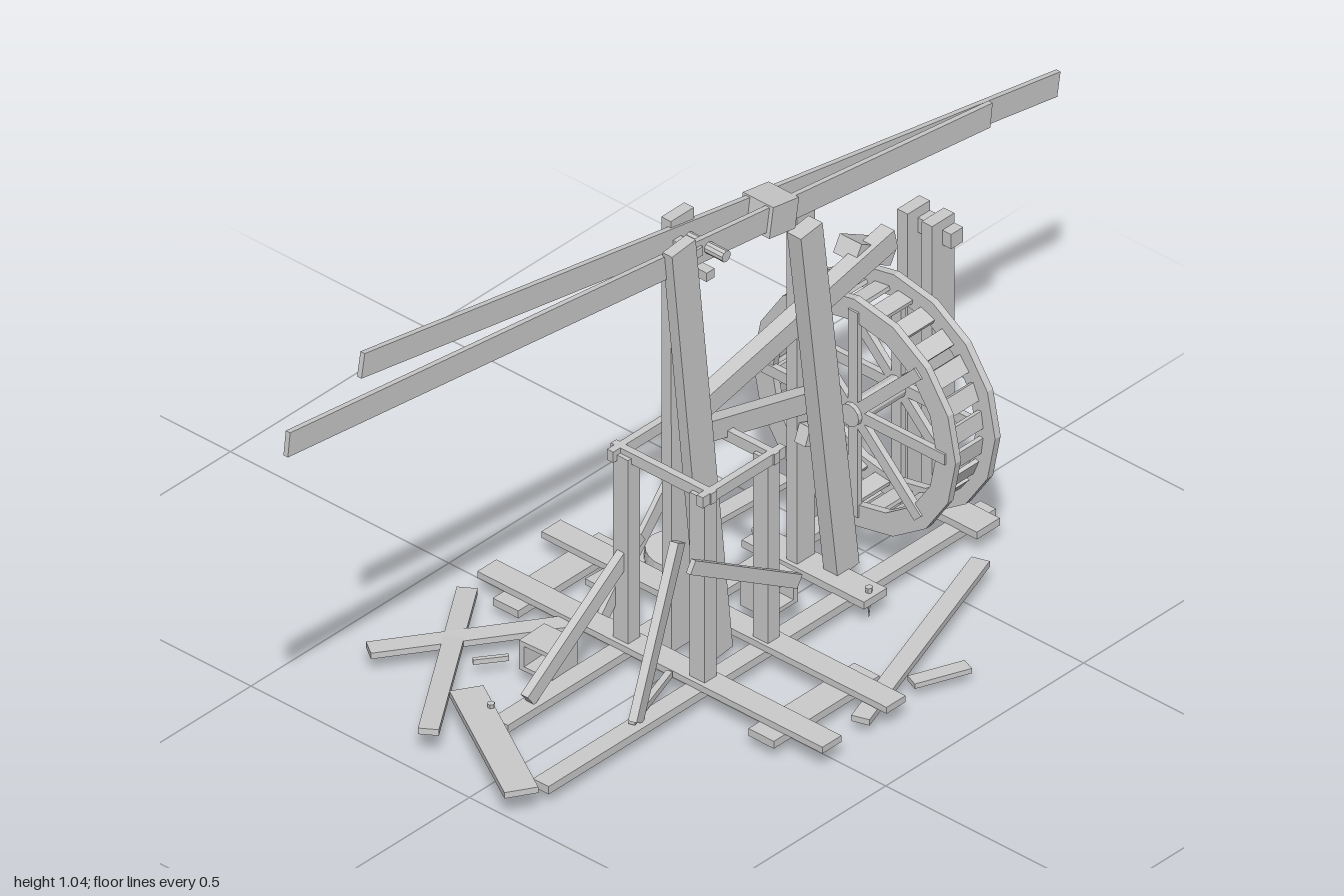
import * as THREE from 'three';

const material = new THREE.MeshStandardMaterial({ color: 0xcccccc, flatShading: true });

export function createModel() {
  const model = new THREE.Group();
  model.name = 'ruinedTreadwheelCrane';

  const add = (name, geometry, parent = model) => {
    const mesh = new THREE.Mesh(geometry, material);
    mesh.name = name;
    parent.add(mesh);
    return mesh;
  };

  // Timber running from a to b; h is its height, d its depth sideways
  const beam = (name, a, b, h, d, parent = model) => {
    const start = new THREE.Vector3(...a), end = new THREE.Vector3(...b);
    const x = end.clone().sub(start);
    const length = x.length();
    x.normalize();
    const z = x.clone().cross(new THREE.Vector3(0, 1, 0));
    if (z.length() < 1e-4) z.set(0, 0, 1);
    z.normalize();
    const y = z.clone().cross(x);
    const mesh = add(name, new THREE.BoxGeometry(length, h, d), parent);
    mesh.quaternion.setFromRotationMatrix(new THREE.Matrix4().makeBasis(x, y, z));
    mesh.position.copy(start.add(end).multiplyScalar(0.5));
    return mesh;
  };

  // Round pin lying along an axis
  const pin = (name, radius, length, axis, x, y, z, sides = 10) => {
    const g = new THREE.CylinderGeometry(radius, radius, length, sides);
    if (axis === 'x') g.rotateZ(Math.PI / 2);
    else g.rotateX(Math.PI / 2);
    add(name, g).position.set(x, y, z);
  };

  // Ground frame
  beam('backRunner', [-0.34, 0.033, -0.075], [0.7, 0.033, -0.075], 0.016, 0.036);
  beam('frontRunner', [-0.43, 0.033, 0.1], [0.7, 0.033, 0.1], 0.016, 0.036);
  for (const x of [-0.02, 0.142])
    beam('crossSleeper', [x, 0.047, -0.395], [x, 0.047, 0.395], 0.013, 0.048);
  for (const z of [-0.305, 0.28])
    beam('endPlank', [-0.072, 0.033, z], [0.195, 0.033, z], 0.015, 0.058);
  for (const x of [0.355, 0.64])
    beam('frameSill', [x, 0.047, -0.125], [x, 0.047, 0.155], 0.015, 0.058);

  // Twin boom, its clamp and the pivot
  beam('frontBoom', [-1, 0.994, 0.035], [0.775, 0.775, 0.035], 0.048, 0.01);
  beam('backBoom', [-0.763, 1.016, -0.01], [0.995, 0.707, -0.01], 0.048, 0.01);
  beam('boomClamp', [0.21, 0.842, 0.013], [0.275, 0.831, 0.013], 0.06, 0.07);
  pin('pivotPin', 0.011, 0.128, 'z', 0.06, 0.865, 0.017);
  for (const [x, y] of [[0.03, 0.87], [0.06, 0.81]])
    beam('mastSpacer', [x, y, -0.02], [x, y, 0.045], 0.018, 0.02);

  // Leaning mast and upright mast
  beam('frontMast', [-0.022, 0.912, 0.047], [0.072, 0.03, 0.047], 0.06, 0.022);
  beam('backMast', [0.048, 0.916, -0.02], [0.05, 0.03, -0.02], 0.058, 0.022);

  // Middle frame
  beam('frontMiddlePost', [0.29, 0.795, 0.052], [0.383, 0.05, 0.052], 0.055, 0.032);
  beam('backMiddlePost', [0.357, 0.795, -0.018], [0.357, 0.04, -0.018], 0.045, 0.024);

  // Fallen rails between the masts and the wheel
  beam('upperRail', [0.06, 0.53, 0.02], [0.54, 0.637, 0.02], 0.042, 0.03);
  beam('lowerRail', [0.06, 0.468, 0.005], [0.4, 0.378, 0.005], 0.04, 0.025);
  beam('brokenRail', [0.455, 0.645, 0.0], [0.545, 0.595, 0.0], 0.035, 0.05);
  beam('railStub', [0.33, 0.33, 0.01], [0.405, 0.3, 0.01], 0.035, 0.025);

  // Outer frame carrying the axle
  for (const z of [0.038, -0.018])
    beam('outerPost', [0.642, 0.632, z], [0.642, 0.03, z], 0.056, 0.024);
  beam('outerCrosspiece', [0.655, 0.597, -0.035], [0.655, 0.597, 0.07], 0.03, 0.03);
  beam('axleRest', [0.655, 0.32, -0.025], [0.655, 0.32, 0.05], 0.028, 0.045);

  // Treadwheel: two rims, spokes and boards, turning about x
  const wheel = new THREE.Group();
  wheel.name = 'treadwheel';
  wheel.position.set(0.505, 0.322, 0.022);
  model.add(wheel);
  const polygon = (Type, r) => {
    const path = new Type();
    for (let i = 0; i <= 16; i++) {
      const a = (i / 16) * Math.PI * 2;
      if (i) path.lineTo(r * Math.cos(a), r * Math.sin(a));
      else path.moveTo(r, 0);
    }
    return path;
  };
  const ring = polygon(THREE.Shape, 0.232);
  ring.holes.push(polygon(THREE.Path, 0.188));
  for (const x of [-0.05, 0.05]) {
    const rim = new THREE.ExtrudeGeometry(ring, { depth: 0.014, bevelEnabled: false });
    rim.translate(0, 0, -0.007).rotateY(Math.PI / 2);
    add('wheelRim', rim, wheel).position.x = x;
    for (let i = 0; i < 4; i++) {
      const a = (i * Math.PI) / 4, c = 0.225 * Math.cos(a), s = 0.225 * Math.sin(a);
      const g = new THREE.BoxGeometry(0.012, 0.42, 0.022).rotateX(a);
      add('wheelSpokes', g, wheel).position.x = x * 1.1;
    }
  }
  for (let i = 0; i < 24; i++) {
    const a = ((i + 0.5) / 24) * Math.PI * 2;
    const g = new THREE.BoxGeometry(0.1, 0.008, 0.034).translate(0, 0.2, 0).rotateX(a);
    add('treadBoard', g, wheel);
  }
  pin('axleDrum', 0.022, 0.15, 'x', 0.51, 0.322, 0.022, 12);
  pin('axle', 0.013, 0.25, 'x', 0.565, 0.322, 0.022, 10);

  // Trestle around the mast foot
  for (const x of [-0.02, 0.14])
    for (const z of [0.1, -0.075])
      beam('trestlePost', [x, 0.43, z], [x, 0.03, z], 0.03, 0.034);
  for (const z of [0.115, -0.09])
    beam('trestleLongRail', [-0.045, 0.43, z], [0.165, 0.43, z], 0.022, 0.014);
  for (const x of [-0.02, 0.14])
    beam('trestleCrossRail', [x, 0.43, -0.105], [x, 0.43, 0.125], 0.022, 0.014);
  beam('backLongBrace', [-0.27, 0.05, -0.075], [0.01, 0.25, -0.075], 0.03, 0.016);
  beam('frontLongBrace', [-0.19, 0.045, 0.1], [-0.04, 0.32, 0.06], 0.03, 0.016);
  beam('frontCrossBrace', [-0.075, 0.315, 0.122], [0.195, 0.15, 0.122], 0.026, 0.01);
  beam('backCrossBrace', [0.16, 0.36, -0.092], [-0.06, 0.11, -0.092], 0.026, 0.01);

  // Planks scattered on the ground: ends, height, width
  const debris = [
    [-0.33, 0.04, -0.385, 0.04, 0.04, -0.13, 0.012, 0.036],
    [-0.075, 0.032, -0.39, -0.46, 0.055, -0.13, 0.012, 0.036],
    [-0.32, 0.05, -0.17, -0.49, 0.055, 0.11, 0.012, 0.06],
    [0.07, 0.04, -0.235, 0.54, 0.03, -0.22, 0.012, 0.034],
    [0.085, 0.03, 0.365, 0.56, 0.045, 0.21, 0.012, 0.034],
    [0.23, 0.028, 0.35, 0.33, 0.028, 0.39, 0.01, 0.028],
    [-0.23, 0.035, -0.237, -0.18, 0.035, -0.2, 0.01, 0.008],
    [-0.2, 0.05, 0.1, -0.05, 0.05, 0.05, 0.012, 0.012],
  ];
  for (const [ax, ay, az, bx, by, bz, h, d] of debris)
    beam('scatteredPlank', [ax, ay, az], [bx, by, bz], h, d);

  // Hollow crates and a tilted barrel lid
  const square = (Type, s) => new Type([[-s, -s], [s, -s], [s, s], [-s, s]]
    .map(([x, y]) => new THREE.Vector2(x, y * 0.8)));
  const crateShape = square(THREE.Shape, 0.037);
  crateShape.holes.push(square(THREE.Path, 0.026));
  for (const [x, y, z, turn] of [[-0.157, 0.062, -0.13, Math.PI / 2 + 0.04], [0.24, 0.062, 0.015, 0]]) {
    const g = new THREE.ExtrudeGeometry(crateShape, { depth: 0.066, bevelEnabled: false });
    const crate = add('crate', g.translate(0, 0, -0.033));
    crate.position.set(x, y, z);
    crate.rotation.y = turn;
  }
  const lid = add('barrelLid', new THREE.CylinderGeometry(0.05, 0.05, 0.026, 20));
  lid.position.set(0.225, 0.045, -0.19);
  lid.rotation.x = 0.15;

  // Pegs driven into the ground
  for (const [x, z] of [[-0.335, -0.1], [0.355, 0.14], [0.64, 0.03], [0.355, -0.12]]) {
    const peg = new THREE.ConeGeometry(0.007, 0.065, 6).rotateX(Math.PI);
    add('groundPeg', peg).position.set(x, 0.0325, z);
  }

  return model;
}
